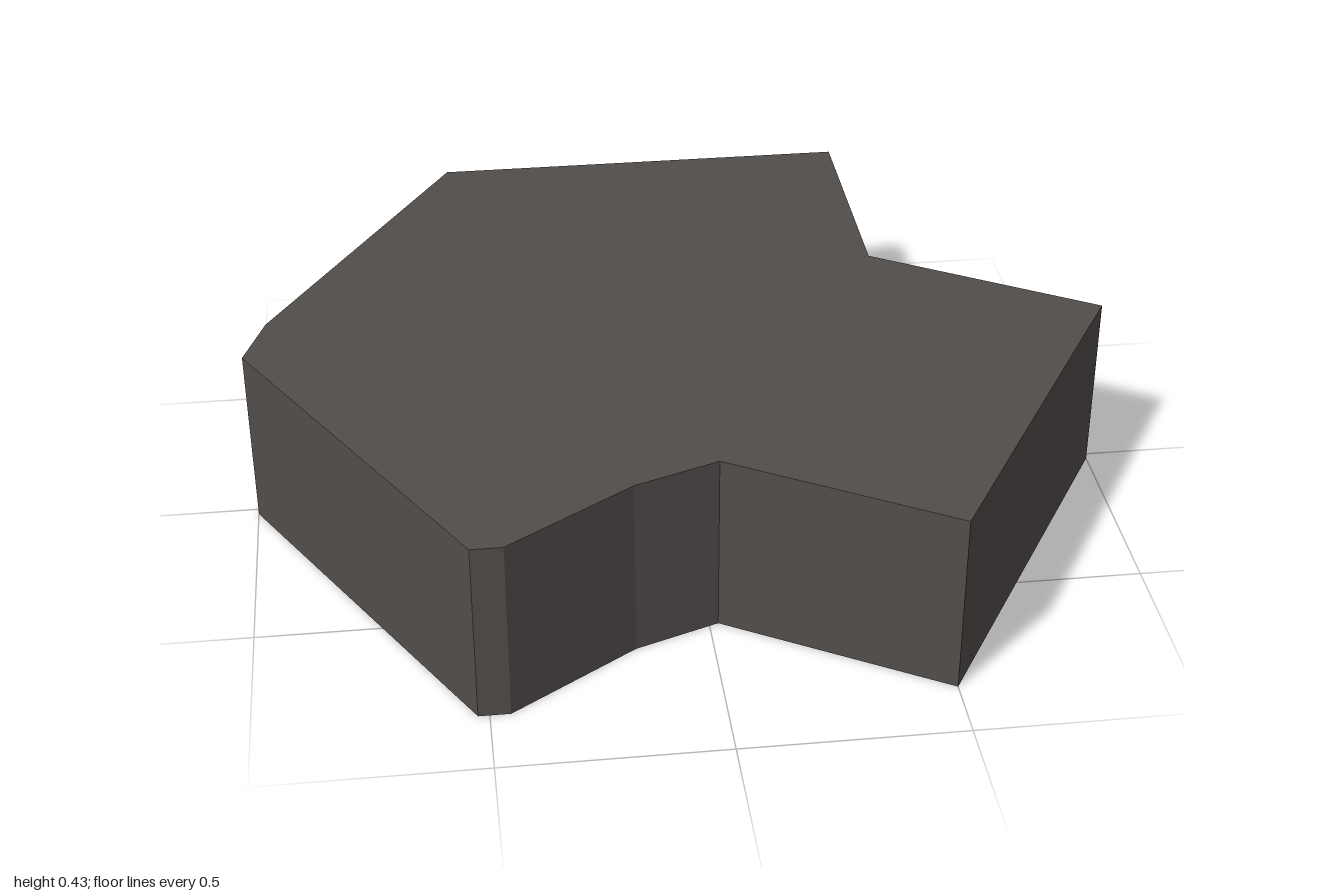
import * as THREE from 'three';

const HEIGHT = 0.43;

// Plan outline as [x, z], running clockwise seen from above
const OUTLINE = [
  [-0.5, -0.857], [0.5, -0.857], [0.5, -0.285], [1, 0.02],
  [0.5, 0.853], [0.02, 0.57], [-0.17, 0.64], [-0.455, 0.83],
  [-0.525, 0.83], [-1, 0.02], [-0.95, -0.125],
];

// One thin upright wall between two outline points, facing outwards
function wallGeometry([ax, az], [bx, bz]) {
  const geometry = new THREE.BufferGeometry();
  const corners = [ax, 0, az, ax, HEIGHT, az, bx, HEIGHT, bz, bx, 0, bz];
  geometry.setAttribute('position', new THREE.Float32BufferAttribute(corners, 3));
  geometry.setIndex([0, 1, 2, 0, 2, 3]);
  geometry.computeVertexNormals();
  return geometry;
}

export function createModel() {
  const group = new THREE.Group();
  group.name = 'hollowTile';

  const darkStone = new THREE.MeshStandardMaterial({ color: 0x524d4b, side: THREE.DoubleSide });
  darkStone.name = 'dark stone';

  // Flat top; the underside stays open
  const shape = new THREE.Shape(OUTLINE.map(([x, z]) => new THREE.Vector2(x, -z)));
  const topGeometry = new THREE.ShapeGeometry(shape);
  topGeometry.rotateX(-Math.PI / 2);
  topGeometry.translate(0, HEIGHT, 0);
  const top = new THREE.Mesh(topGeometry, darkStone);
  top.name = 'top';
  group.add(top);

  // Side walls around the outline
  const walls = new THREE.Group();
  walls.name = 'walls';
  OUTLINE.forEach((point, i) => {
    const next = OUTLINE[(i + 1) % OUTLINE.length];
    const wall = new THREE.Mesh(wallGeometry(point, next), darkStone);
    wall.name = `wall${i + 1}`;
    walls.add(wall);
  });
  group.add(walls);

  return group;
}
